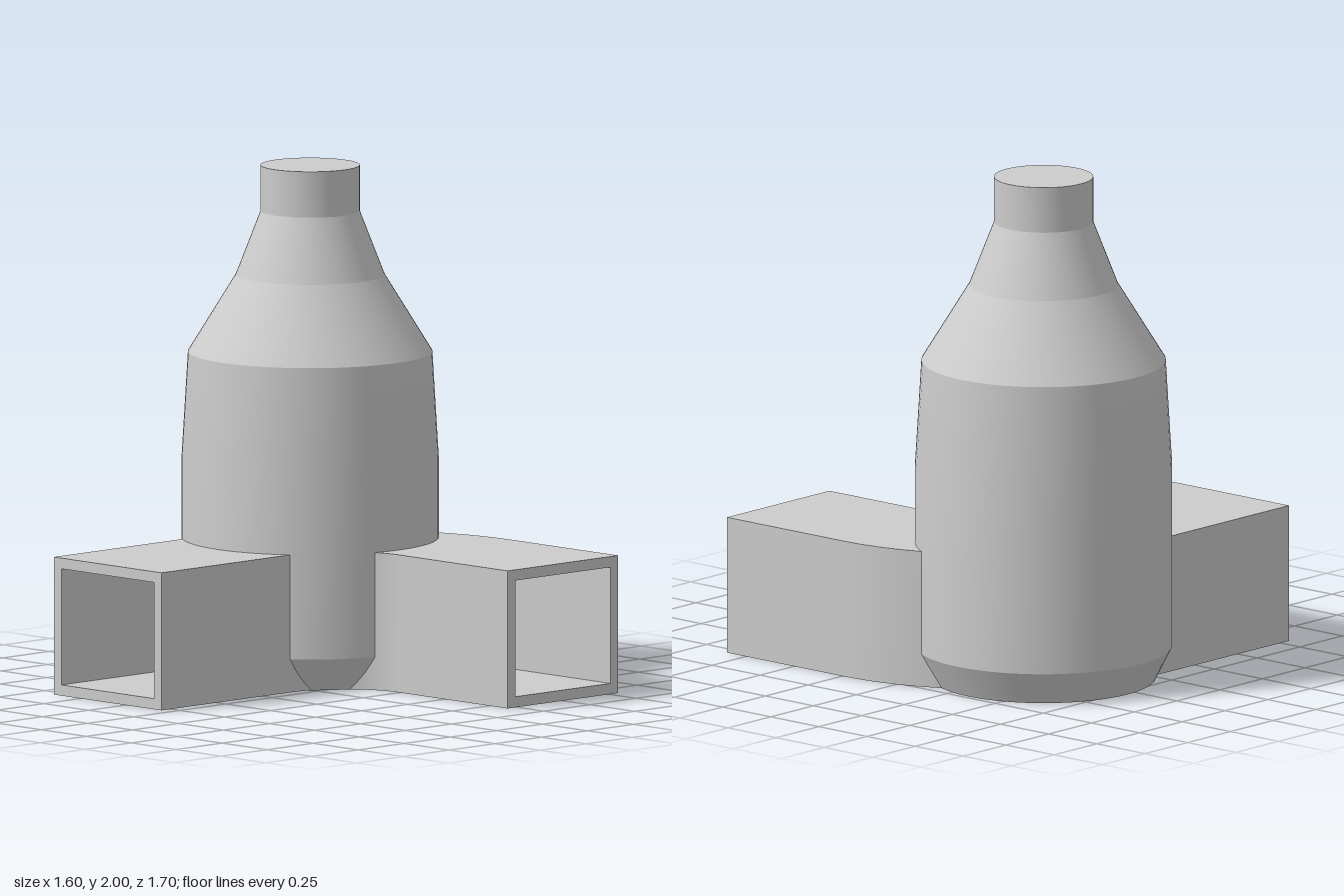
import * as THREE from 'three';
import { toCreasedNormals } from 'three/addons/utils/BufferGeometryUtils.js';

// Hollow rectangular duct swept along a straight, bend, straight path
function ductGeometry(halfWidth, height, wall) {
  const stations = [[0.5, 0.85, 1, 0]]; // centre x, z and outward direction x, z
  const steps = 24;
  for (let i = 0; i <= steps; i++) {
    const a = (i / steps) * Math.PI / 2;
    const nx = Math.cos(a), nz = -Math.sin(a);
    stations.push([-0.1 + 0.6 * nx, 0.25 + 0.6 * nz, nx, nz]);
  }
  stations.push([-0.8, -0.35, 0, -1]);

  const ring = ([x, z, nx, nz], w, y0, y1) =>
    [[-w, y0], [w, y0], [w, y1], [-w, y1]].map(([u, y]) => [x + nx * u, y, z + nz * u]);
  const outer = stations.map((s) => ring(s, halfWidth, 0, height));
  const inner = stations.map((s) => ring(s, halfWidth - wall, wall, height - wall));

  const pos = [];
  const quad = (a, b, c, d) => pos.push(...a, ...b, ...c, ...a, ...c, ...d);
  const last = stations.length - 1;
  for (let k = 0; k < 4; k++) {
    const m = (k + 1) % 4;
    for (let i = 0; i < last; i++) {
      quad(outer[i][k], outer[i + 1][k], outer[i + 1][m], outer[i][m]);
      quad(inner[i][k], inner[i][m], inner[i + 1][m], inner[i + 1][k]);
    }
    // open end rims
    quad(outer[0][k], outer[0][m], inner[0][m], inner[0][k]);
    quad(outer[last][k], inner[last][k], inner[last][m], outer[last][m]);
  }
  const geometry = new THREE.BufferGeometry();
  geometry.setAttribute('position', new THREE.Float32BufferAttribute(pos, 3));
  return toCreasedNormals(geometry, 0.3);
}

export function createModel() {
  const group = new THREE.Group();
  const grey = new THREE.MeshStandardMaterial({ color: 0xcccccc });
  grey.name = 'light grey';

  // Tapered vessel with chamfered foot, shoulder and closed neck
  const profile = [
    [0, 0], [0.435, 0], [0.5, 0.13], [0.5, 0.85], [0.475, 1.27],
    [0.29, 1.57], [0.193, 1.82], [0.193, 2], [0, 2],
  ].map(([r, y]) => new THREE.Vector2(r, y));
  const vessel = new THREE.Mesh(
    toCreasedNormals(new THREE.LatheGeometry(profile, 64), 0.15), grey);
  vessel.name = 'vessel';
  vessel.position.set(0.297, 0, -0.349);
  group.add(vessel);

  // Curved duct passing through the foot of the vessel
  const duct = new THREE.Mesh(ductGeometry(0.3, 0.54, 0.042), grey);
  duct.name = 'duct';
  group.add(duct);

  return group;
}
